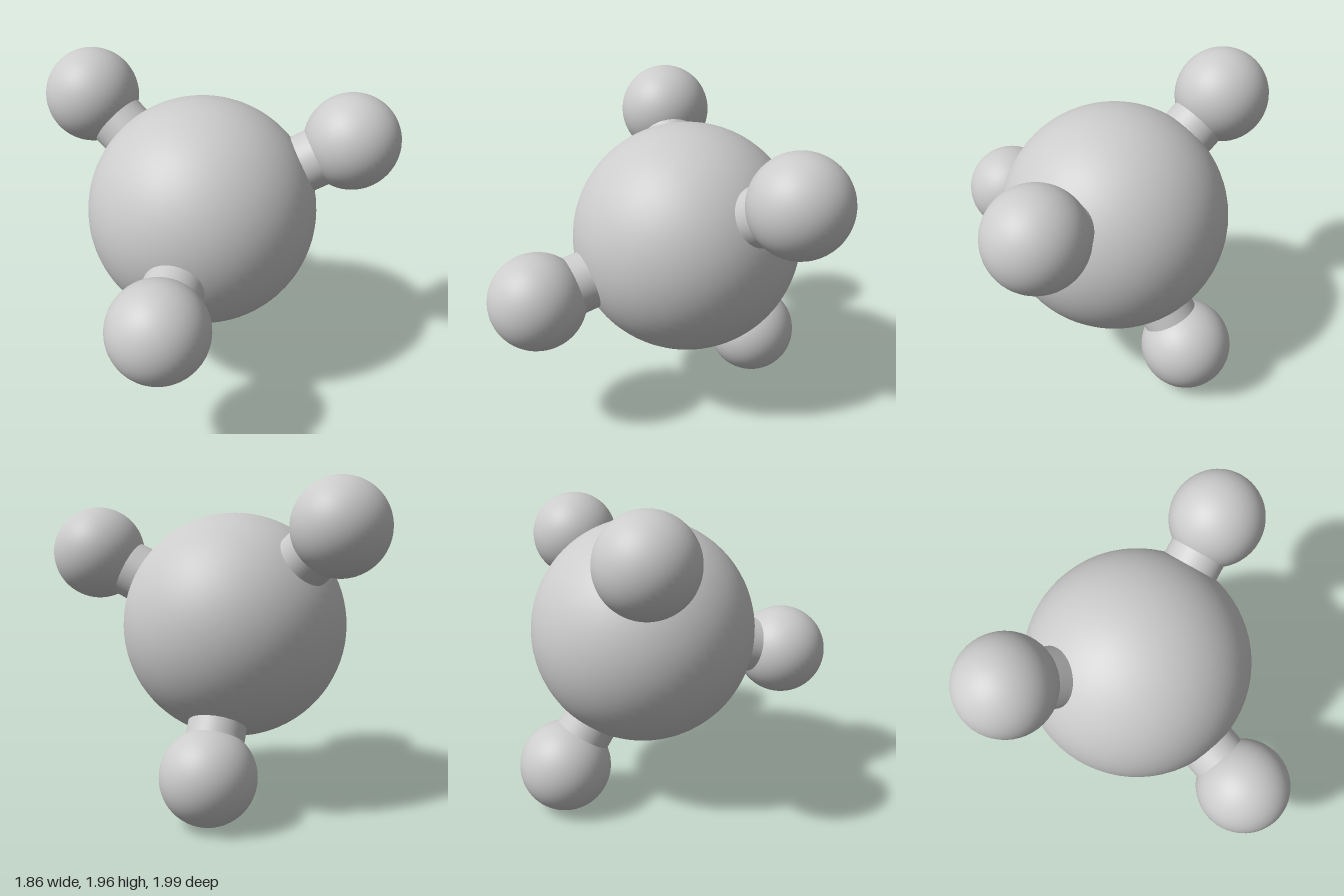
import * as THREE from 'three';

export function createModel() {
  const model = new THREE.Group();
  model.name = 'molecule';
  const material = new THREE.MeshStandardMaterial({ color: 0xcccccc });
  const up = new THREE.Vector3(0, 1, 0);
  const centre = new THREE.Vector3(0.04, 1.1, 0);
  const bondLength = 0.967;

  const add = (name, geometry, position) => {
    const mesh = new THREE.Mesh(geometry, material);
    mesh.name = name;
    mesh.position.copy(position);
    model.add(mesh);
    return mesh;
  };

  // Large central atom
  add('centralAtom', new THREE.SphereGeometry(0.68, 64, 40), centre);

  // Four small atoms in a tetrahedral arrangement, each on a short bond
  const atomGeometry = new THREE.SphereGeometry(0.28, 48, 32);
  const bondGeometry = new THREE.CylinderGeometry(0.172, 0.172, bondLength, 48);
  const atoms = {
    UpperRight: [-0.65, 1.69, 0.32],
    UpperBack: [0.53, 1.54, -0.72],
    FrontLeft: [0.645, 0.875, 0.715],
    Lower: [-0.37, 0.28, -0.35],
  };
  for (const [place, point] of Object.entries(atoms)) {
    const direction = new THREE.Vector3(...point).sub(centre).normalize();
    const end = centre.clone().addScaledVector(direction, bondLength);
    const middle = centre.clone().lerp(end, 0.5);
    add('outerAtom' + place, atomGeometry, end);
    add('bond' + place, bondGeometry, middle).quaternion.setFromUnitVectors(up, direction);
  }
  return model;
}
